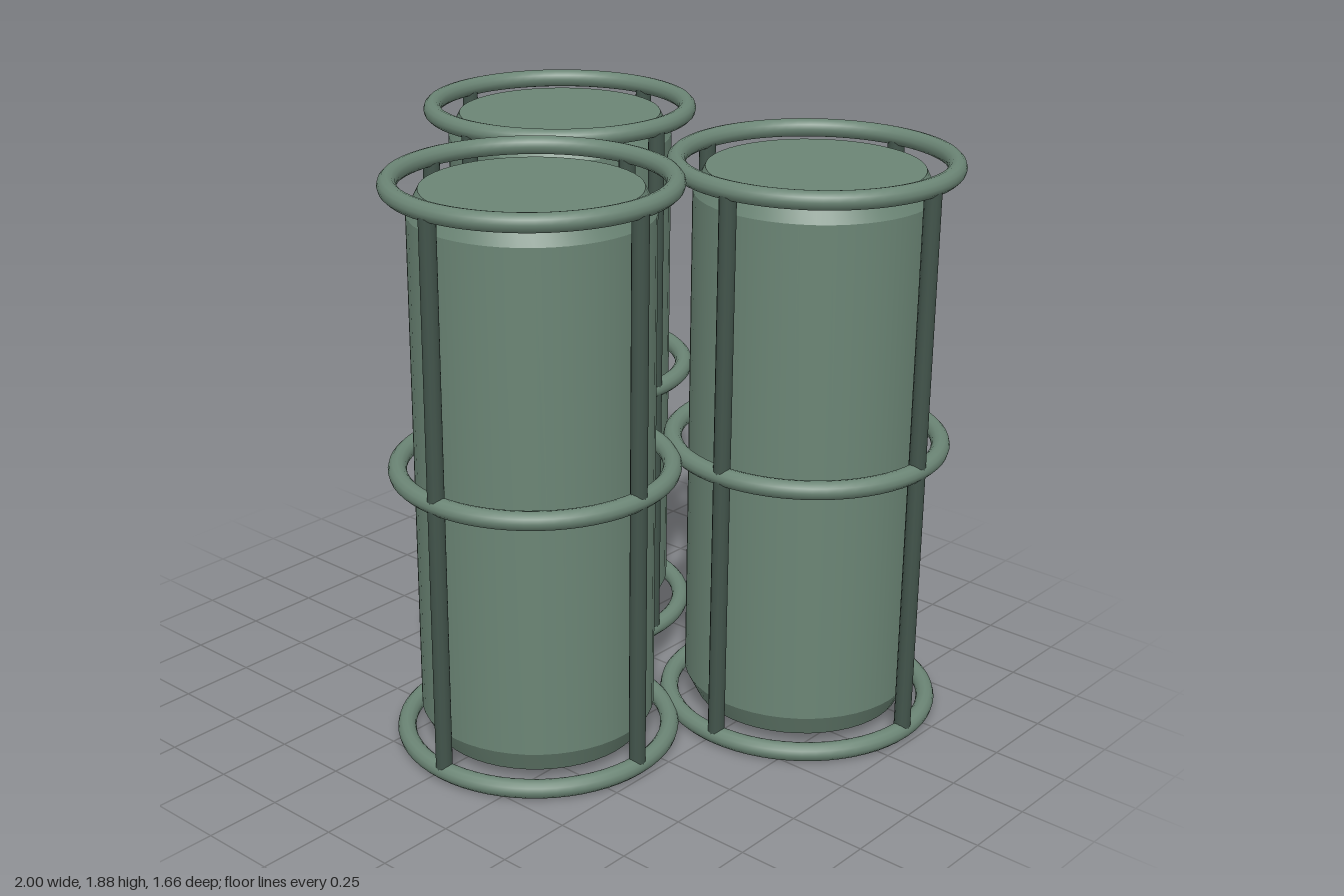
import * as THREE from 'three';
import { toCreasedNormals } from 'three/addons/utils/BufferGeometryUtils.js';

const green = new THREE.MeshStandardMaterial({ color: 0x6b8575 });
green.name = 'sage green';
const darkGreen = new THREE.MeshStandardMaterial({ color: 0x42544b });
darkGreen.name = 'dark green';

const RING_R = 0.43, TUBE_R = 0.03;
const RING_Y = [0.03, 0.943, 1.855];

// chamfered drum, closed at both ends
const drumProfile = [[0, 0.045], [0.34, 0.045], [0.378, 0.12], [0.378, 1.765], [0.34, 1.84], [0, 1.84]]
  .map(([r, y]) => new THREE.Vector2(r, y));
const drumGeo = toCreasedNormals(new THREE.LatheGeometry(drumProfile, 48), 0.35);
const ringGeo = new THREE.TorusGeometry(RING_R, TUBE_R, 12, 64).rotateX(Math.PI / 2);
const rodGeo = new THREE.CylinderGeometry(0.027, 0.027, RING_Y[2] - RING_Y[0], 12);

function add(parent, name, geo, mat, x = 0, y = 0, z = 0) {
  const mesh = new THREE.Mesh(geo, mat);
  mesh.name = name;
  mesh.position.set(x, y, z);
  parent.add(mesh);
}

// one drum inside its cage of three hoops and four rods
function cagedDrum(name, x, z) {
  const group = new THREE.Group();
  group.name = name;
  group.position.set(x, 0, z);
  add(group, 'drum', drumGeo, green);
  RING_Y.forEach((y) => add(group, 'hoop', ringGeo, green, 0, y));
  for (let i = 0; i < 4; i++) {
    const a = i * Math.PI / 2;
    add(group, 'rod', rodGeo, darkGreen, RING_R * Math.cos(a), (RING_Y[0] + RING_Y[2]) / 2, RING_R * Math.sin(a));
  }
  return group;
}

export function createModel() {
  const model = new THREE.Group();
  model.name = 'cagedDrums';
  model.add(
    cagedDrum('rightBackDrum', -0.54, -0.375),
    cagedDrum('leftBackDrum', 0.535, -0.375),
    cagedDrum('frontDrum', 0.04, 0.37),
  );
  return model;
}
